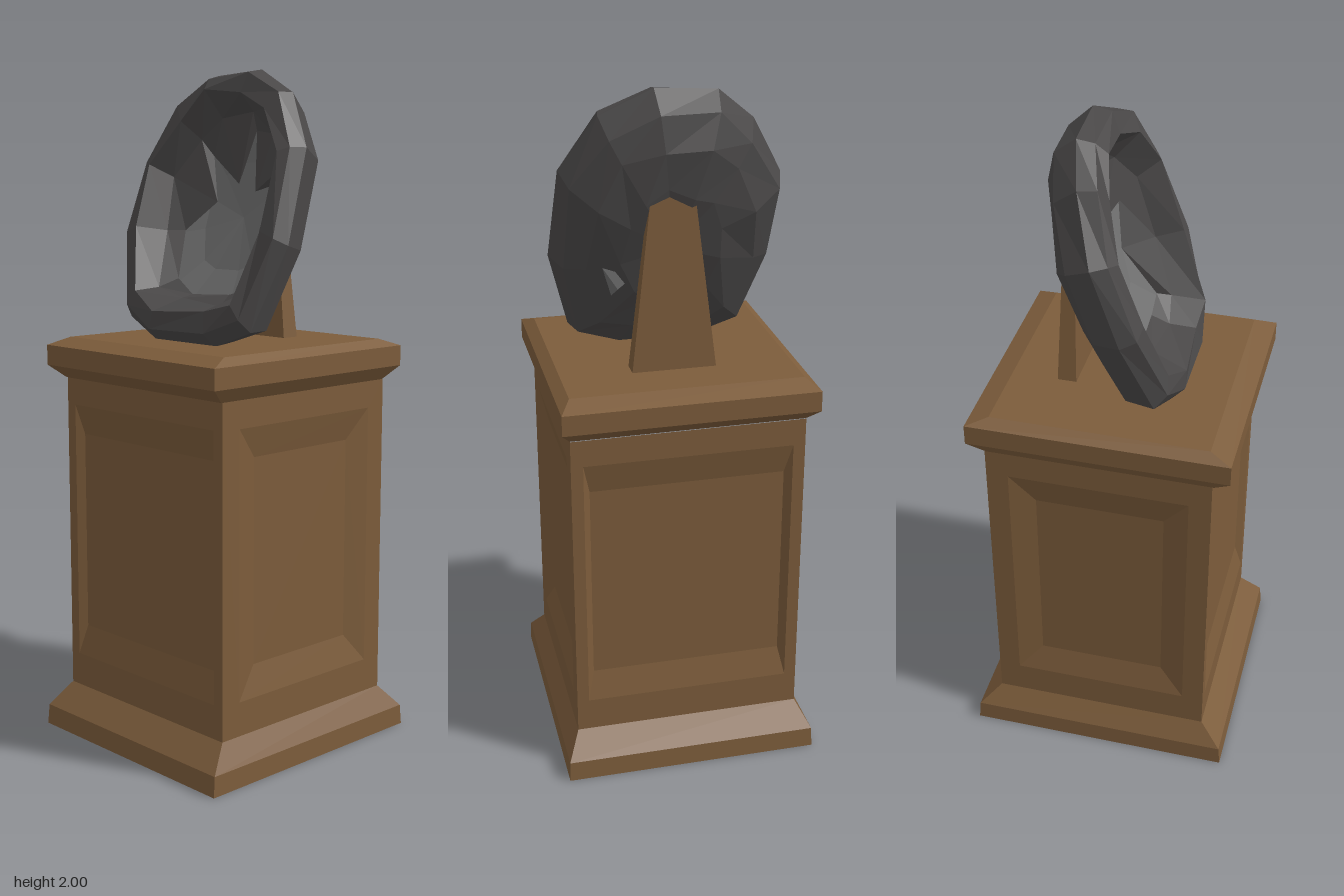
import * as THREE from 'three';

const wood = new THREE.MeshStandardMaterial({ color: 0x7c5c3b, flatShading: true });
wood.name = 'brownWood';
const darkStone = new THREE.MeshStandardMaterial({ color: 0x4a4848, flatShading: true, side: THREE.DoubleSide });
darkStone.name = 'darkStone';
const paleStone = new THREE.MeshStandardMaterial({ color: 0x707070, flatShading: true, side: THREE.DoubleSide });
paleStone.name = 'paleStone';

// Skins a list of equal-length closed rings; collapsed rings act as caps
function loft(name, rings, material) {
  const pos = [];
  const tri = (a, b, c) => {
    if (a.equals(b) || b.equals(c) || a.equals(c)) return;
    for (const p of [a, b, c]) pos.push(p.x, p.y, p.z);
  };
  for (let k = 0; k + 1 < rings.length; k++) {
    const A = rings[k], B = rings[k + 1], n = A.length;
    for (let i = 0; i < n; i++) {
      const j = (i + 1) % n;
      tri(A[i], B[j], B[i]);
      tri(A[i], A[j], B[j]);
    }
  }
  const geo = new THREE.BufferGeometry();
  geo.setAttribute('position', new THREE.Float32BufferAttribute(pos, 3));
  geo.computeVertexNormals();
  const mesh = new THREE.Mesh(geo, material);
  mesh.name = name;
  return mesh;
}

const v = (x, y, z) => new THREE.Vector3(x, y, z);

// Horizontal rectangle: [half x, y, half z, centre x, centre z]
const slab = ([w, y, d, cx = 0, cz = 0]) =>
  [v(cx - w, y, cz + d), v(cx + w, y, cz + d), v(cx + w, y, cz - d), v(cx - w, y, cz - d)];
// Upright rectangle in the xy plane
const upright = ([w, lo, hi, z]) => [v(-w, hi, z), v(w, hi, z), v(w, lo, z), v(-w, lo, z)];

function pedestal() {
  const g = new THREE.Group();
  g.name = 'pedestal';
  g.add(loft('plinth', [[0, 0, 0], [0.4, 0, 0.38], [0.395, 0.06, 0.378], [0.33, 0.13, 0.34]].map(slab), wood));
  g.add(loft('cornice', [[0.33, 1.09, 0.34, -0.004], [0.38, 1.13, 0.368, -0.004], [0.38, 1.19, 0.368, -0.004],
    [0.316, 1.212, 0.336, -0.004], [0, 1.212, 0, -0.004]].map(slab), wood));
  // Four sides, each with a bevelled recessed panel
  for (let s = 0; s < 4; s++) {
    const side = s % 2;
    const half = side ? 0.34 : 0.33, z = side ? 0.33 : 0.34;
    const outer = side ? 0.305 : 0.265, inner = side ? 0.285 : 0.19;
    const panel = loft('sidePanel', [[0, 0.62, 0.62, z - 0.02], [inner, 0.32, 0.92, z - 0.02],
      [outer, 0.23, 1.01, z], [half, 0.13, 1.09, z]].map(upright), wood);
    panel.rotation.y = s * Math.PI / 2;
    g.add(panel);
  }
  return g;
}

// Leaning frame of the stone: u runs up the slope, n points out of its hollow face
const place = (z, u, n) => v(-0.02 + 0.32 * u - 0.947 * n, 1.6 + 0.947 * u + 0.32 * n, z);

// Irregular outline of the stone as [z, u]
const outline = [[0.05, 0.416], [-0.13, 0.405], [-0.24, 0.31], [-0.34, 0.13], [-0.335, -0.11], [-0.26, -0.355],
  [-0.12, -0.417], [0.13, -0.417], [0.26, -0.365], [0.325, -0.11], [0.305, 0.175], [0.2, 0.34]];
const wobble = (i, k) => Math.sin(i * 2.7 + k * 1.9);
const bowl = r => -0.105 + 0.12 * r * r;

function stone() {
  const g = new THREE.Group();
  g.name = 'hollowStone';
  const ring = (r, n, k, amount) => outline.map(([z, u], i) => {
    const f = r + amount * wobble(i, k);
    return place(z * f, u * f, n + amount * 0.25 * wobble(i, k + 3));
  });
  // Broken inner edge with inward spikes
  const jag = [0.6, 0.24, 0.56, 0.3, 0.55, 0.6, 0.62, 0.6, 0.62, 0.33, 0.52, 0.22];
  const brokenEdge = outline.map(([z, u], i) => place(z * jag[i], u * jag[i], bowl(jag[i]) + 0.015));
  g.add(loft('stoneShell', [
    ring(0, -0.146, 0, 0), ring(0.42, -0.142, 1, 0.03), ring(0.72, -0.118, 2, 0.04), ring(0.92, -0.07, 3, 0.015),
    ring(1, 0.01, 4, 0), ring(0.94, 0.056, 5, 0.015), ring(0.81, 0.068, 6, 0.025), ring(0.69, -0.01, 7, 0.025),
    brokenEdge], darkStone));
  g.add(loft('stoneHollow', [0.74, 0.4, 0].map((r, k) => ring(r, bowl(r), k, 0)), paleStone));
  // Small chip showing through the back
  const chip = [[0.195, -0.06], [0.105, -0.1], [0.165, -0.16]];
  const at = n => chip.map(([z, u]) => place(z, u, n));
  g.add(loft('backChip', [chip.map(() => place(0.15, -0.13, -0.147)), at(-0.134)], paleStone));
  return g;
}

export function createModel() {
  const model = new THREE.Group();
  model.name = 'stoneOnPedestal';
  model.add(pedestal(), stone());
  // Tapered prop behind the stone
  model.add(loft('prop', [[0.028, 1.205, 0.123, 0.148, 0.008], [0.013, 1.735, 0.06, 0.148, 0.01],
    [0, 1.735, 0, 0.148, 0.01]].map(slab), wood));
  return model;
}
